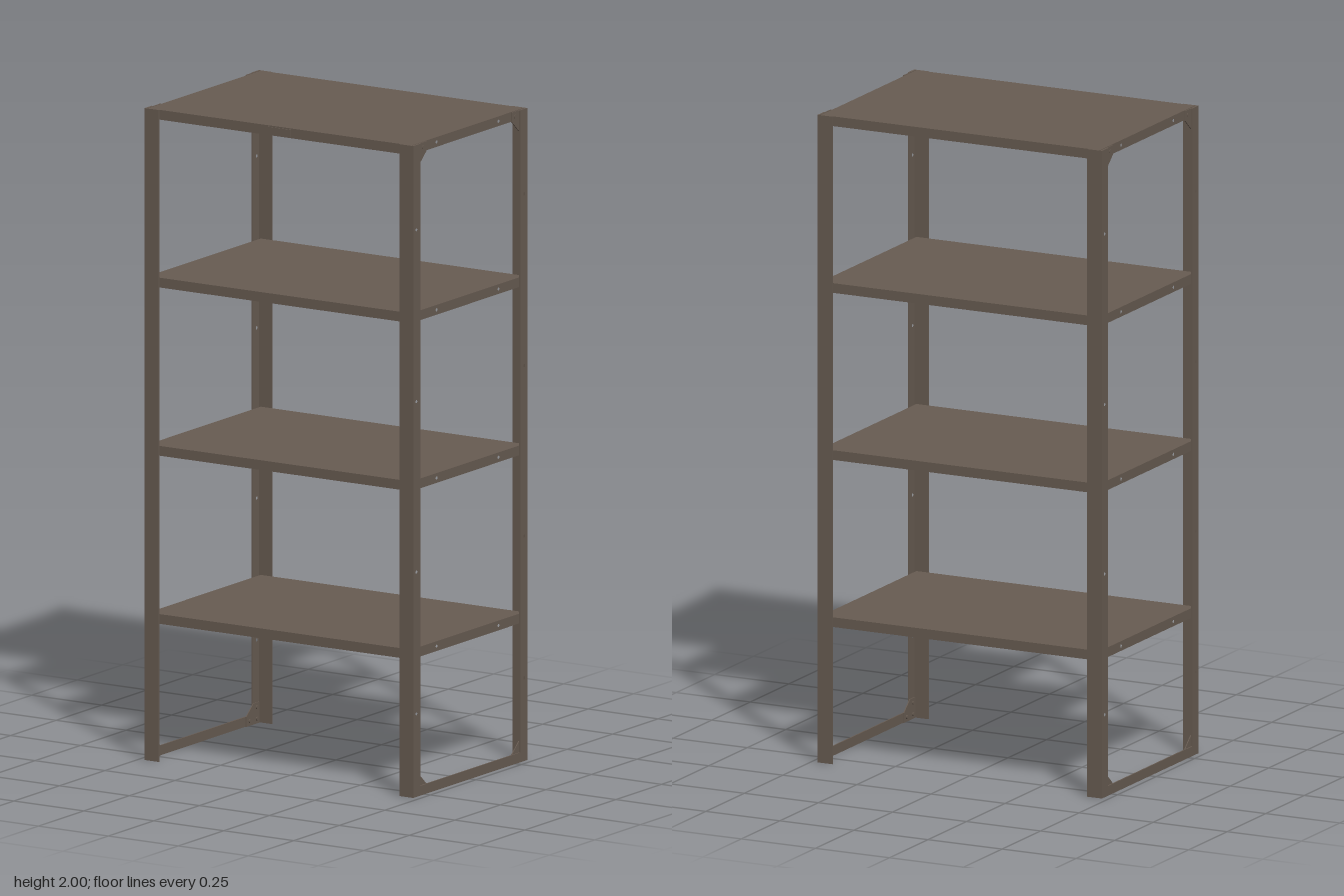
import * as THREE from 'three';

const steel = new THREE.MeshStandardMaterial({ color: 0x685c52 });
const X = 0.48, Z = 0.313, H = 2, T = 0.004;
const shelfX = 0.47, shelfZ = Z - T, lipH = 0.03;
const shelfTops = [0.453, 0.969, 1.485, H];

function box(name, w, h, d, x, y, z) {
  const mesh = new THREE.Mesh(new THREE.BoxGeometry(w, h, d), steel);
  mesh.position.set(x, y, z);
  mesh.name = name;
  return mesh;
}

// Upright plate in the side plane: points are [z, y], starting at depth x
function sidePlate(name, points, holes, x, thickness) {
  const shape = new THREE.Shape(points.map(([z, y]) => new THREE.Vector2(-z, y)));
  for (const [z, y] of holes) {
    const hole = new THREE.Path();
    hole.absarc(-z, y, 0.005, 0, Math.PI * 2, true);
    shape.holes.push(hole);
  }
  const geo = new THREE.ExtrudeGeometry(shape, { depth: thickness, bevelEnabled: false, curveSegments: 6 });
  geo.rotateY(Math.PI / 2);
  const mesh = new THREE.Mesh(geo, steel);
  mesh.position.x = x;
  mesh.name = name;
  return mesh;
}

const rect = (z0, z1, y0, y1) => [[z0, y0], [z1, y0], [z1, y1], [z0, y1]];

// Pan shelf: thin top with lips folded down on all four sides
function makeShelf(top) {
  const shelf = new THREE.Group();
  shelf.name = 'shelf';
  shelf.add(box('shelfTop', shelfX * 2, T, shelfZ * 2, 0, top - T / 2, 0));
  const y0 = top - lipH, y1 = top - T, mid = top - lipH / 2;
  for (const s of [-1, 1]) {
    shelf.add(box('shelfLongLip', shelfX * 2, y1 - y0, T, 0, (y0 + y1) / 2, s * (shelfZ - T / 2)));
    shelf.add(sidePlate('shelfSideLip', rect(-shelfZ + T, shelfZ - T, y0, y1),
      [[-0.17, mid], [0.17, mid]], s > 0 ? shelfX - T : -shelfX, T));
  }
  return shelf;
}

// Angle post at one corner
function makePost(sx, sz) {
  const post = new THREE.Group();
  post.name = 'cornerPost';
  post.add(box('postFaceFlange', 0.05, H, T, sx * (X - 0.025), H / 2, sz * (Z - T / 2)));
  const holes = [0.255, 0.69, 1.213, 1.74].map(y => [sz * 0.296, y]);
  const a = sz * (Z - T), b = sz * 0.274;
  post.add(sidePlate('postSideFlange', rect(Math.min(a, b), Math.max(a, b), 0, H), holes,
    sx > 0 ? X - T : -X, T));
  return post;
}

// Chamfered corner plate with two bolts, at the top or foot of a post
function makeGusset(sx, sz, atTop) {
  const gusset = new THREE.Group();
  gusset.name = 'cornerGusset';
  const y = d => (atTop ? H - d : d);
  const outline = [[0.308, 0], [0.235, 0], [0.235, 0.03], [0.274, 0.064], [0.308, 0.064]];
  gusset.add(sidePlate('gussetPlate', outline.map(([z, d]) => [sz * z, y(d)]), [],
    sx > 0 ? 0.473 : -0.476, 0.003));
  for (const [z, d] of [[0.252, 0.015], [0.292, 0.015], [0.292, 0.05]]) {
    const bolt = new THREE.Mesh(new THREE.CylinderGeometry(0.006, 0.006, 0.009, 6), steel);
    bolt.rotation.z = Math.PI / 2;
    bolt.position.set(sx * 0.4735, y(d), sz * z);
    bolt.name = 'bolt';
    gusset.add(bolt);
  }
  return gusset;
}

export function createModel() {
  const rack = new THREE.Group();
  rack.name = 'shelvingRack';
  for (const top of shelfTops) rack.add(makeShelf(top));
  for (const sx of [-1, 1]) {
    for (const sz of [-1, 1]) {
      rack.add(makePost(sx, sz));
      for (const atTop of [true, false]) rack.add(makeGusset(sx, sz, atTop));
    }
    // Foot rail joining front and back posts
    rack.add(box('footRail', T, lipH, 0.274 * 2, sx * (X - T / 2), lipH / 2, 0));
  }
  // Blank plate on the front edge of the top shelf
  rack.add(box('frontPlate', 0.08, 0.022, 0.003, 0, H - 0.015, shelfZ + 0.0015));
  return rack;
}
